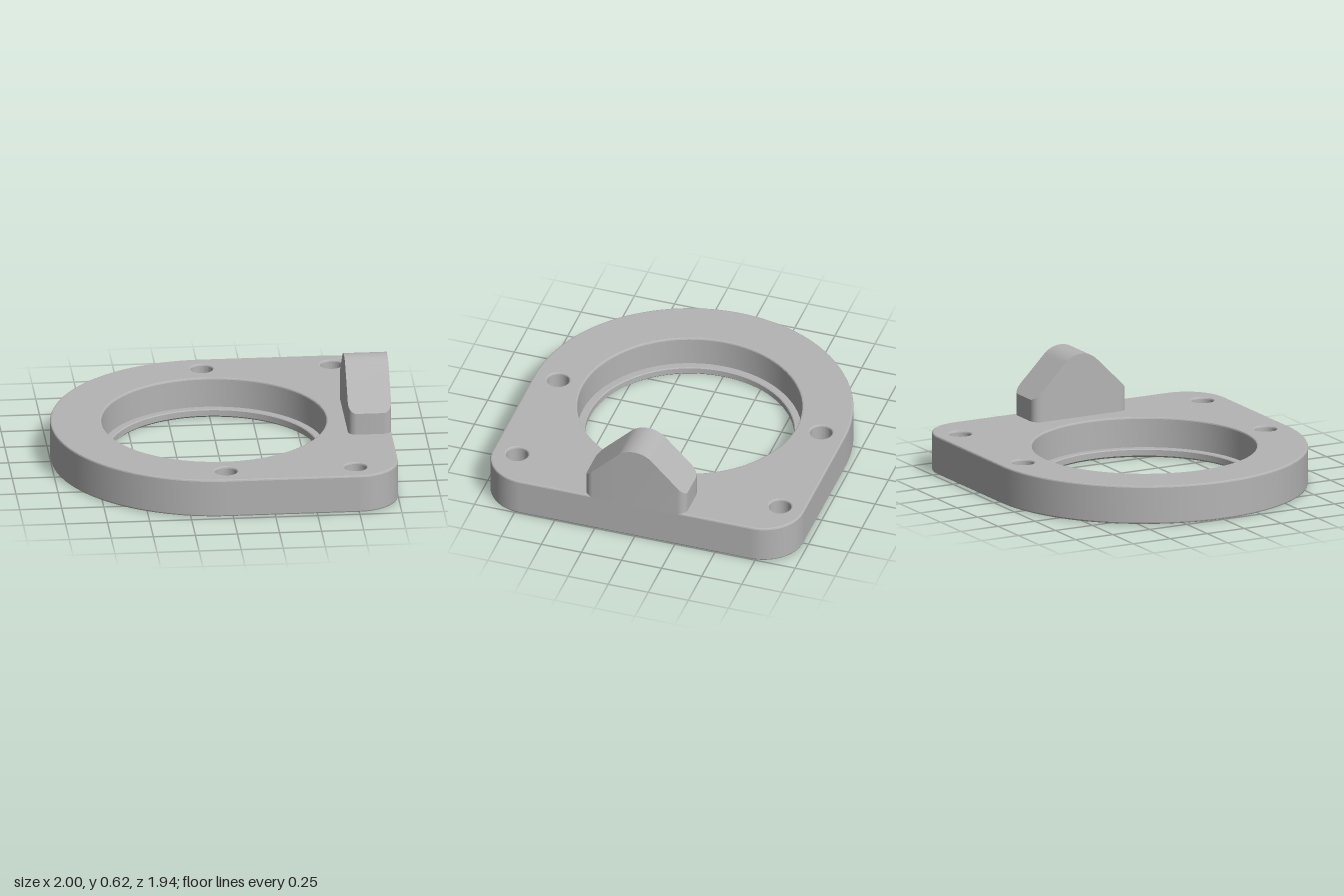
import * as THREE from 'three';
import { toCreasedNormals } from 'three/addons/utils/BufferGeometryUtils.js';
import { ConvexGeometry } from 'three/addons/geometries/ConvexGeometry.js';

const CX = -0.03;        // centre of the bore and the round end
const HEIGHT = 0.233;    // plate thickness
const BEVEL = 0.01;

function circlePath(x, y, r) {
  return new THREE.Path().absarc(x, y, r, 0, Math.PI * 2, true);
}

// D-shaped plate with rounded corners, central bore and four screw holes
function plateGeometry() {
  const s = new THREE.Shape();
  s.moveTo(CX, -0.97);
  s.lineTo(0.75, -0.97);
  s.absarc(0.75, -0.72, 0.25, -Math.PI / 2, 0, false);
  s.lineTo(1, 0.72);
  s.absarc(0.75, 0.72, 0.25, 0, Math.PI / 2, false);
  s.lineTo(CX, 0.97);
  s.absarc(CX, 0, 0.97, Math.PI / 2, Math.PI * 1.5, false);
  s.holes.push(circlePath(CX, 0, 0.665));
  for (const x of [CX, 0.74])
    for (const y of [-0.82, 0.82]) s.holes.push(circlePath(x, y, 0.065));

  const g = new THREE.ExtrudeGeometry(s, {
    depth: HEIGHT - 2 * BEVEL, curveSegments: 48,
    bevelEnabled: true, bevelThickness: BEVEL, bevelSize: BEVEL,
    bevelOffset: -BEVEL, bevelSegments: 2,
  });
  g.rotateX(-Math.PI / 2);
  g.translate(0, BEVEL, 0);
  return toCreasedNormals(g, 0.35);
}

// Narrow ledge at the foot of the bore
function ledgeGeometry() {
  const profile = [[0.675, 0], [0.63, 0], [0.62, 0.01], [0.62, 0.045], [0.625, 0.05], [0.67, 0.05]]
    .map(([r, y]) => new THREE.Vector2(r, y)).reverse();
  const g = new THREE.LatheGeometry(profile, 96);
  g.translate(CX, 0, 0);
  return toCreasedNormals(g, 0.35);
}

// Pointed lug: rounded rectangle in plan, 45 degree roof with a rounded ridge
function lugGeometry() {
  const x0 = 0.743, x1 = 1, half = 0.315, corner = 0.05, ridge = 0.15, top = 0.618;
  const tangent = ridge * Math.SQRT1_2;
  const roof = (z) => {
    const a = Math.abs(z);
    return a < tangent
      ? top - ridge + Math.sqrt(ridge * ridge - a * a)
      : top - ridge + 2 * tangent - a;
  };
  const points = [];
  const slice = (z, inset) => {
    for (const x of [x0 + inset, x1 - inset])
      for (const y of [HEIGHT - BEVEL, roof(z)]) points.push(new THREE.Vector3(x, y, z));
  };
  for (let i = 0; i <= 8; i++) {
    const a = (i / 8) * Math.PI / 2;
    for (const side of [-1, 1])
      slice(side * (half - corner + corner * Math.sin(a)), corner * (1 - Math.cos(a)));
  }
  for (let i = -8; i <= 8; i++) slice(ridge * Math.sin((i / 8) * Math.PI / 4), 0);
  return toCreasedNormals(new ConvexGeometry(points), 0.35);
}

export function createModel() {
  const group = new THREE.Group();
  group.name = 'flangeWithLug';
  const grey = new THREE.MeshStandardMaterial({ color: 0xb4b4b4 });
  grey.name = 'grey';
  const add = (name, geometry) => {
    const mesh = new THREE.Mesh(geometry, grey);
    mesh.name = name;
    group.add(mesh);
  };
  add('plate', plateGeometry());
  add('boreLedge', ledgeGeometry());
  add('lug', lugGeometry());
  return group;
}
